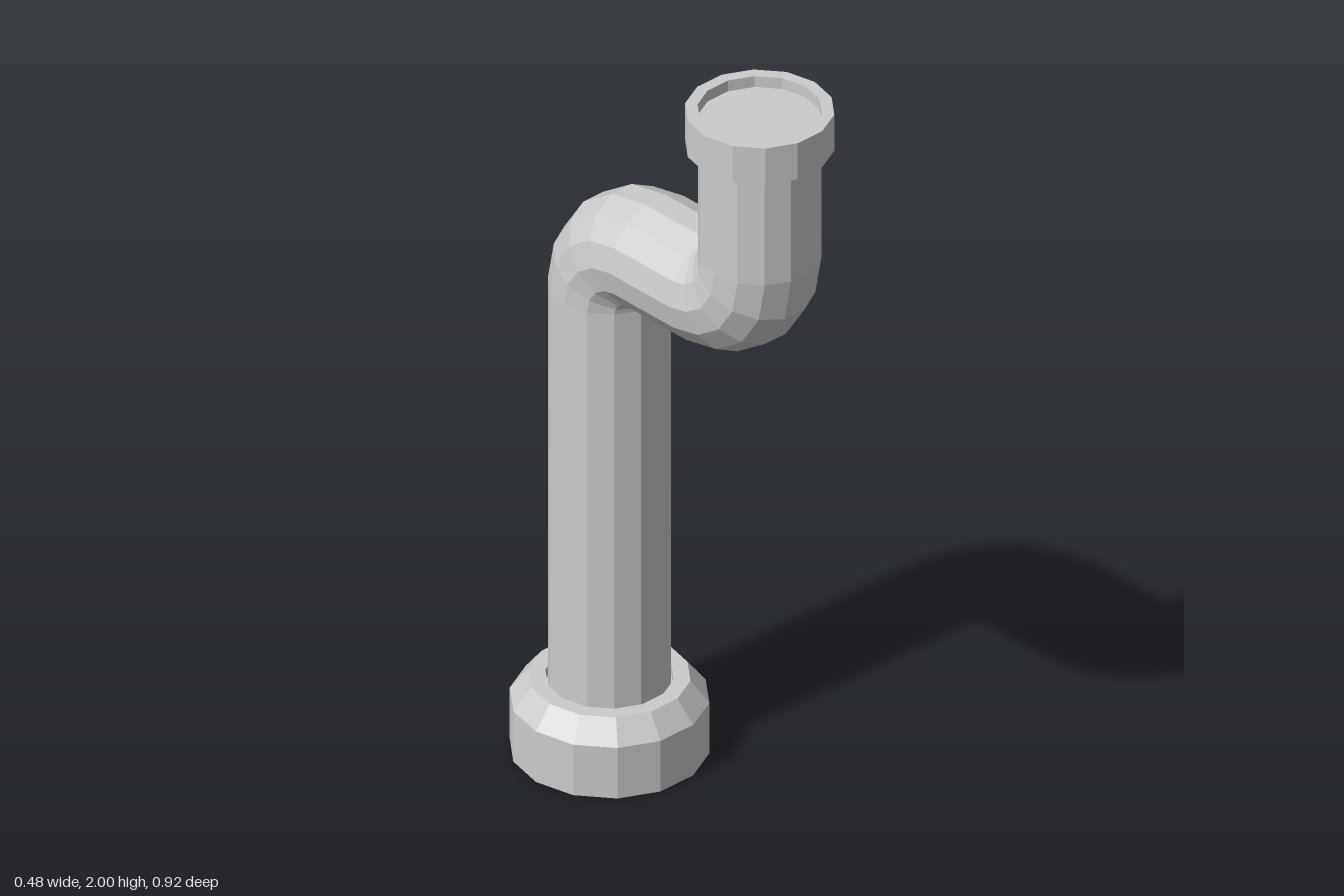
import * as THREE from 'three';

const SIDES = 14;
const PIPE_R = 0.147;
const BEND_R = 0.157;
const LOWER_Z = -0.23, UPPER_Z = 0.288, MID_Y = 1.443;

const material = new THREE.MeshStandardMaterial({ color: 0xcccccc, flatShading: true, side: THREE.DoubleSide });

// Turned collar from [radius, height] pairs, with corners on the x axis
function collar(name, profile, z) {
  const points = profile.map(([r, y]) => new THREE.Vector2(r, y));
  const mesh = new THREE.Mesh(new THREE.LatheGeometry(points, SIDES, Math.PI / 2), material);
  mesh.name = name;
  mesh.position.z = z;
  return mesh;
}

// Centre line of the pipe in the z-y plane; dir is the heading (0 = up, PI/2 = forward)
function pipePath(steps = 4) {
  const path = [{ z: LOWER_Z, y: 0.17, dir: 0 }];
  for (let i = 0; i <= steps; i++) {
    const a = (i / steps) * Math.PI / 2;
    path.push({
      z: LOWER_Z + BEND_R * (1 - Math.cos(a)),
      y: MID_Y - BEND_R * (1 - Math.sin(a)),
      dir: a,
    });
  }
  for (let i = 0; i <= steps; i++) {
    const a = (i / steps) * Math.PI / 2;
    path.push({
      z: UPPER_Z - BEND_R * (1 - Math.sin(a)),
      y: MID_Y + BEND_R * (1 - Math.cos(a)),
      dir: Math.PI / 2 - a,
    });
  }
  path.push({ z: UPPER_Z, y: 1.97, dir: 0 });
  return path;
}

// Sweep a regular polygon along the centre line
function sweptPipe(path) {
  const positions = [], index = [];
  path.forEach(({ z, y, dir }, row) => {
    for (let j = 0; j < SIDES; j++) {
      const t = (j / SIDES) * Math.PI * 2;
      const across = PIPE_R * Math.sin(t);
      positions.push(PIPE_R * Math.cos(t), y - across * Math.sin(dir), z + across * Math.cos(dir));
      if (row === 0) continue;
      const k = (j + 1) % SIDES;
      const a = (row - 1) * SIDES + j, b = (row - 1) * SIDES + k;
      const c = row * SIDES + j, d = row * SIDES + k;
      index.push(a, c, b, b, c, d);
    }
  });
  const geometry = new THREE.BufferGeometry();
  geometry.setAttribute('position', new THREE.Float32BufferAttribute(positions, 3));
  geometry.setIndex(index);
  geometry.computeVertexNormals();
  return geometry;
}

export function createModel() {
  const model = new THREE.Group();
  model.name = 'bentPipe';

  const pipe = new THREE.Mesh(sweptPipe(pipePath()), material);
  pipe.name = 'pipe';

  // Wide foot with a chamfered shoulder and a shallow socket
  const base = collar('baseCollar', [
    [0, 0], [0.238, 0], [0.238, 0.14], [0.193, 0.197], [0.153, 0.197], [0.153, 0.17], [0, 0.17],
  ], LOWER_Z);

  // Upper rim with a recessed end face
  const rim = collar('topCollar', [
    [PIPE_R, 1.9], [0.178, 1.9], [0.178, 2], [0.148, 2], [0.148, 1.97], [0, 1.97],
  ], UPPER_Z);

  model.add(pipe, base, rim);
  return model;
}
